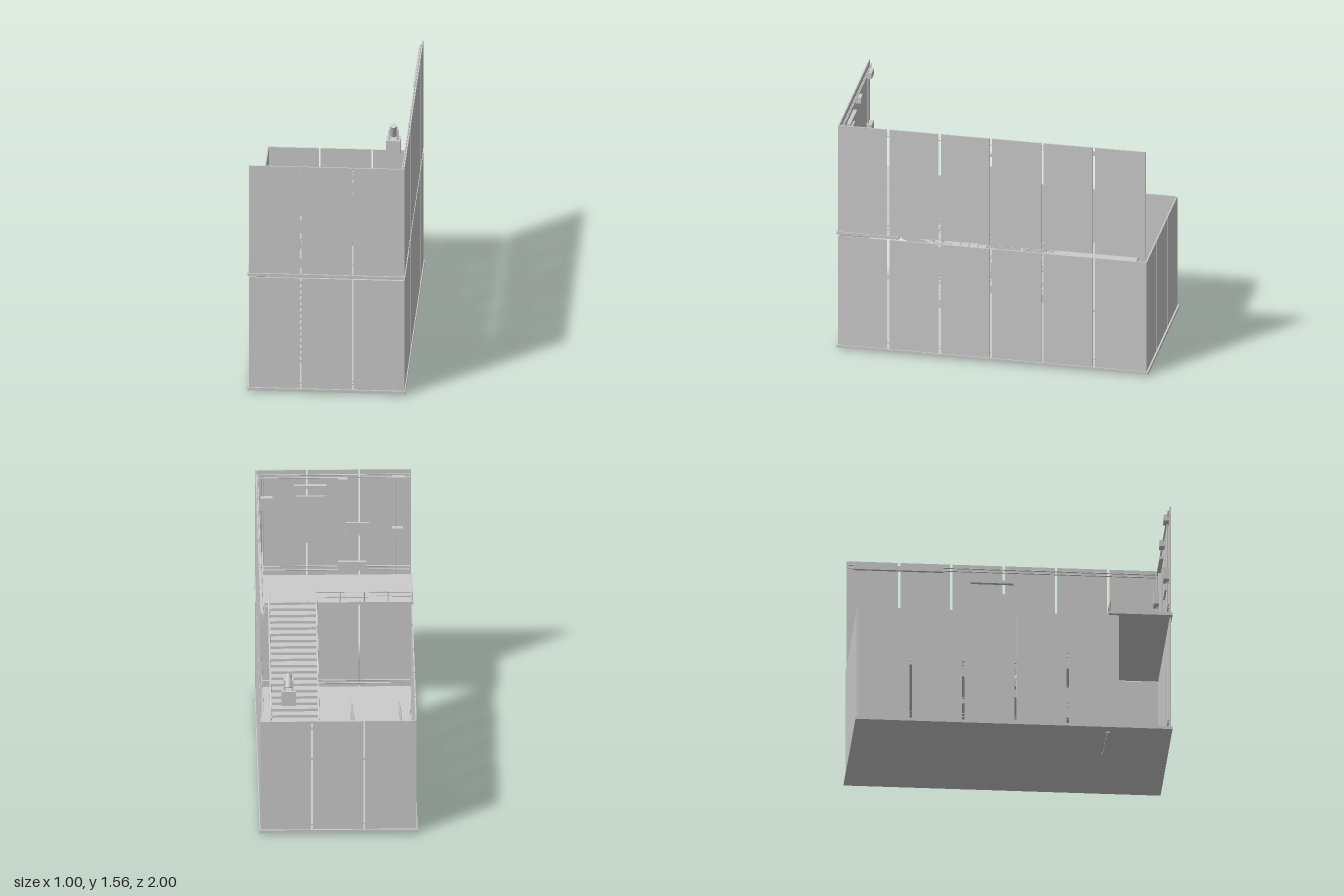
import * as THREE from 'three';

const material = new THREE.MeshStandardMaterial({ color: 0xcccccc, flatShading: true, side: THREE.DoubleSide });

function add(parent, name, geometry) {
  const mesh = new THREE.Mesh(geometry, material);
  mesh.name = name;
  parent.add(mesh);
  return mesh;
}

// Box given by its min and max along each axis
function box(parent, name, [x0, x1], [y0, y1], [z0, z1]) {
  const mesh = add(parent, name, new THREE.BoxGeometry(x1 - x0, y1 - y0, z1 - z0));
  mesh.position.set((x0 + x1) / 2, (y0 + y1) / 2, (z0 + z1) / 2);
  return mesh;
}

// Round bar between two points
function bar(parent, name, a, b, radius = 0.004) {
  const from = new THREE.Vector3(...a), to = new THREE.Vector3(...b);
  const mesh = add(parent, name, new THREE.CylinderGeometry(radius, radius, from.distanceTo(to), 8));
  mesh.position.copy(from).lerp(to, 0.5);
  mesh.quaternion.setFromUnitVectors(new THREE.Vector3(0, 1, 0), to.sub(from).normalize());
}

const STEPS = 20, RUN = 0.97, RISE = 0.39;

// One flight, climbing along +z from its own origin, centred on x
function flight(name) {
  const group = new THREE.Group();
  group.name = name;
  const extrude = (partName, points, x, width) => {
    const shape = new THREE.Shape(points.map(([s, y]) => new THREE.Vector2(s, y)));
    const geometry = new THREE.ExtrudeGeometry(shape, { depth: width, bevelEnabled: false });
    geometry.rotateY(-Math.PI / 2).translate(x + width / 2, 0, 0);
    add(group, partName, geometry);
  };
  // Stepped body with a sloping underside
  const profile = [[0, -0.02]];
  for (let i = 0; i < STEPS; i++) {
    const y = (i + 1) * RISE / STEPS;
    profile.push([i * RUN / STEPS, y - RISE / STEPS], [i * RUN / STEPS, y]);
    box(group, 'treadNosing', [-0.145, 0.145], [y - 0.005, y + 0.001], [i * RUN / STEPS - 0.006, i * RUN / STEPS + 0.01]);
  }
  profile.push([RUN, RISE], [RUN, RISE - 0.025]);
  extrude('steps', profile, 0, 0.29);
  for (const side of [-1, 1]) {
    const x = side * 0.15;
    extrude('stringer', [[0, -0.03], [0, 0.025], [RUN, RISE + 0.022], [RUN, RISE - 0.03]], x, 0.012);
    // Low handrail on posts
    for (let i = 0; i < 6; i++) {
      const t = 0.02 + 0.96 * i / 5;
      bar(group, 'railPost', [x, RISE * t, RUN * t], [x, RISE * t + 0.08, RUN * t], 0.003);
    }
    for (const h of [0.05, 0.08]) bar(group, 'handrail', [x, h, 0], [x, RISE + h, RUN], 0.0035);
  }
  return group;
}

export function createModel() {
  const model = new THREE.Group();
  const LOWER = [0.03, 0.79], UPPER = [0.82, 1.56];

  // Floors and landings
  box(model, 'baseFloor', [-0.5, 0.495], [0.01, 0.03], [-1, 1]);
  box(model, 'upperFloor', [-0.5, 0.495], [0.8, 0.82], [0.6, 1]);
  box(model, 'middleLanding', [-0.485, 0.475], [0.405, 0.42], [-0.77, -0.37]);
  box(model, 'stairFooting', [-0.43, -0.1], [0, 0.012], [0.59, 0.61]);
  box(model, 'stairHeadPlate', [0.1, 0.43], [0.793, 0.8], [0.58, 0.61]);
  box(model, 'floorHatch', [-0.36, -0.27], [0.82, 0.823], [0.69, 0.755]);
  for (const x of [-0.165, 0.165]) box(model, 'floorJoint', [x - 0.008, x + 0.008], [0.82, 0.823], [0.61, 0.98]);

  // Walls of separate panels
  const endCuts = [-0.495, -0.165, 0.165, 0.475];
  const sideCuts = [-0.99, -0.65, -0.32, 0.01, 0.34, 0.67, 0.993];
  const endWall = (name, y, z) => {
    for (let i = 0; i < 3; i++)
      box(model, name, [endCuts[i] + 0.005, endCuts[i + 1] - 0.005], y, [z - 0.004, z + 0.004]);
  };
  const sideWall = (name, y, x, count) => {
    for (let i = 0; i < count; i++)
      box(model, name, [x - 0.004, x + 0.004], y, [sideCuts[i] + 0.008, sideCuts[i + 1] - 0.008]);
  };
  endWall('frontLowerPanel', LOWER, 0.987);
  endWall('frontUpperPanel', UPPER, 0.987);
  endWall('backLowerPanel', LOWER, -0.985);
  sideWall('leftLowerPanel', LOWER, 0.485, 6);
  sideWall('leftUpperPanel', UPPER, 0.485, 6);
  sideWall('rightLowerPanel', LOWER, -0.49, 5);
  for (const y of [LOWER, UPPER]) box(model, 'cornerStrip', [0.47, 0.49], y, [0.983, 0.991]);
  box(model, 'cornerStrip', [0.47, 0.489], LOWER, [-0.989, -0.98]);

  // Pipes along the walls
  for (const y of [0.06, 0.08, 0.86, 0.885, 1.51, 1.53]) {
    bar(model, 'sidePipe', [0.473, y, -0.97], [0.473, y, 0.975]);
    bar(model, 'frontPipe', [-0.485, y, 0.975], [0.473, y, 0.975]);
  }
  for (const y of [0.06, 0.08]) {
    bar(model, 'backPipe', [-0.48, y, -0.973], [0.473, y, -0.973]);
    bar(model, 'rightPipe', [-0.478, y, -0.973], [-0.478, y, 0.64]);
  }
  for (const x of [0.44, 0.455, -0.39]) bar(model, 'wallConduit', [x, 0.83, 0.975], [x, 1.53, 0.975]);

  // Flights, climbing to the back and then to the front
  const lower = flight('lowerFlight');
  lower.rotation.y = Math.PI;
  lower.position.set(-0.26, 0.03, 0.6);
  const upper = flight('upperFlight');
  upper.position.set(0.26, 0.415, -0.37);
  model.add(lower, upper);

  // Guard rail along the upper floor edge
  for (let i = 0; i < 5; i++) {
    const x = -0.49 + i * 0.15;
    bar(model, 'guardPost', [x, 0.82, 0.607], [x, 0.89, 0.607]);
  }
  for (const y of [0.855, 0.888]) bar(model, 'guardRail', [-0.49, y, 0.607], [0.11, y, 0.607]);

  // Fittings on the inside of the front wall
  const onFront = (name, x, y, depth) => box(model, name, x, y, [0.984 - depth, 0.984]);
  onFront('frontBoard', [0.04, 0.24], [1.05, 1.38], 0.012);
  onFront('smallBoard', [-0.23, -0.08], [1.1, 1.19], 0.012);
  onFront('frontLamp', [0.04, 0.25], [1.44, 1.46], 0.025);
  onFront('heater', [-0.21, -0.03], [0.86, 0.92], 0.025);
  onFront('junctionBox', [0.38, 0.46], [1.29, 1.38], 0.035);
  onFront('junctionBox', [-0.09, -0.03], [1.47, 1.51], 0.035);
  onFront('junctionBox', [-0.45, -0.37], [1.48, 1.52], 0.035);
  onFront('junctionBox', [-0.44, -0.37], [1.08, 1.16], 0.035);

  // Fittings on the inside of the tall side wall
  const onSide = (name, y, z, depth) => box(model, name, [0.482 - depth, 0.482], y, z);
  onSide('sideBoard', [1.07, 1.36], [-0.16, 0.04], 0.015);
  onSide('sideLamp', [1.43, 1.45], [-0.2, 0.07], 0.025);
  onSide('sideCableTray', [1.5, 1.53], [-0.94, -0.37], 0.02);

  // Tilted machine by the back corner
  const machine = new THREE.Group();
  machine.name = 'machine';
  box(machine, 'machineBody', [-0.045, 0.045], [0, 0.1], [-0.04, 0.04]);
  for (const x of [-0.025, 0.025])
    box(machine, 'machineBracket', [x - 0.005, x + 0.005], [0.1, 0.17], [-0.025, 0.025]);
  const head = add(machine, 'machineHead', new THREE.CylinderGeometry(0.02, 0.025, 0.09, 12));
  head.position.set(0, 0.16, 0);
  head.rotation.x = 0.5;
  machine.position.set(0.31, 0.84, -0.83);
  model.add(machine);

  return model;
}
